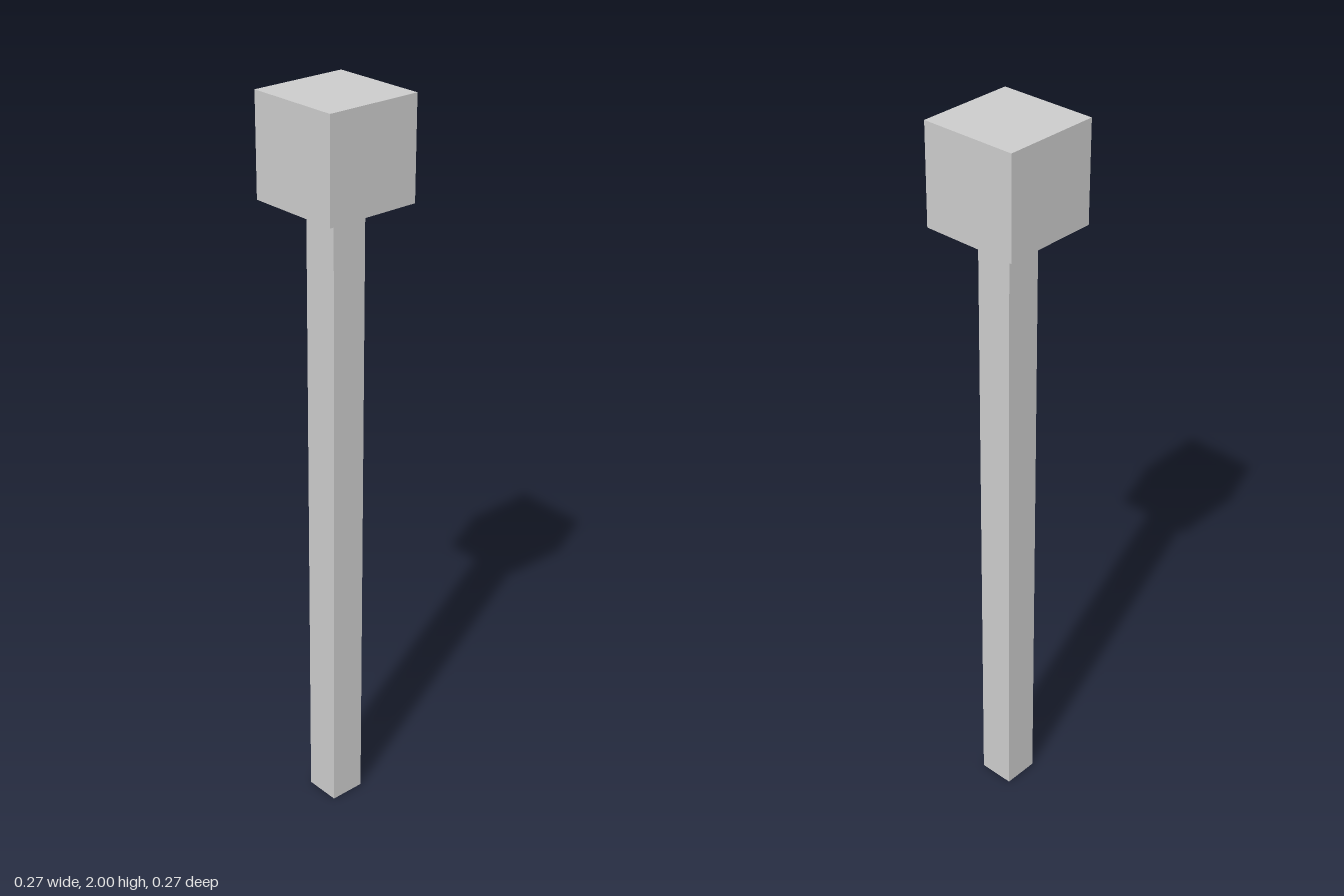
import * as THREE from 'three';

const HEIGHT = 2;
const HEAD = 0.267; // edge of the cubic head
const POLE = 0.1; // width of the square pole

export function createModel() {
  const group = new THREE.Group();
  group.name = 'squarePost';
  const material = new THREE.MeshStandardMaterial({ color: 0xcccccc, flatShading: true });

  // Adds a square block standing at the given height
  const addBlock = (name, width, height, bottom) => {
    const mesh = new THREE.Mesh(new THREE.BoxGeometry(width, height, width), material);
    mesh.name = name;
    mesh.position.y = bottom + height / 2;
    group.add(mesh);
  };

  addBlock('pole', POLE, HEIGHT - HEAD, 0);
  addBlock('head', HEAD, HEAD, HEIGHT - HEAD);
  return group;
}
